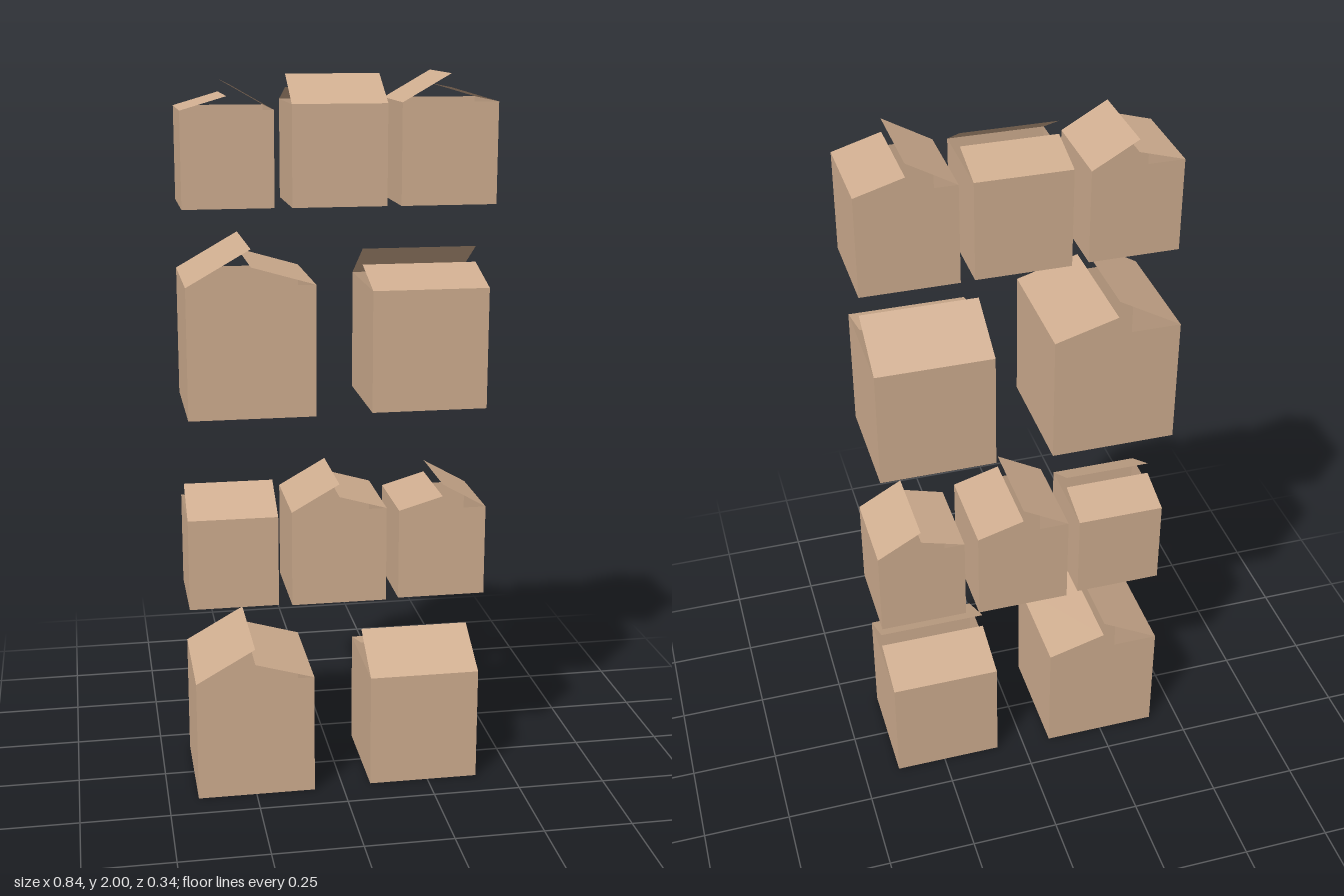
import * as THREE from 'three';

// Stack of open cardboard boxes: [centre x, base y, width, height, direction of the steep flap]
const BOXES = [
  [-0.249, 0, 0.333, 0.349, '-x'],
  [0.238, 0, 0.313, 0.328, '+z'],
  [-0.300, 0.556, 0.249, 0.258, '+z'],
  [-0.006, 0.556, 0.266, 0.271, '-x'],
  [0.288, 0.556, 0.248, 0.258, '+x'],
  [-0.247, 1.108, 0.344, 0.357, '-x'],
  [0.239, 1.108, 0.318, 0.333, '-z'],
  [-0.298, 1.661, 0.243, 0.252, '+x'],
  [-0.004, 1.661, 0.253, 0.266, '+z'],
  [0.289, 1.661, 0.258, 0.268, '-x'],
];
const TURN = { '+z': 0, '+x': Math.PI / 2, '-z': Math.PI, '-x': -Math.PI / 2 };

// Bottom and four walls, without a lid
function openBox(w, h) {
  const geometry = new THREE.BoxGeometry(w, h, w);
  const index = Array.from(geometry.index.array);
  index.splice(12, 6);
  geometry.setIndex(index);
  geometry.clearGroups();
  return geometry.translate(0, h / 2, 0);
}

// Flap hinged on the +z rim, rising towards the middle of the box
function flapGeometry(w, h, rise) {
  const run = w / 2;
  const length = Math.hypot(run, rise);
  return new THREE.PlaneGeometry(w, length)
    .rotateX(-Math.PI / 2)
    .translate(0, 0, -length / 2)
    .rotateX(Math.atan2(rise, run))
    .translate(0, h, run);
}

export function createModel() {
  const cardboard = new THREE.MeshStandardMaterial({ color: 0xd0ae90, side: THREE.DoubleSide });
  cardboard.name = 'cardboard';
  const model = new THREE.Group();
  model.name = 'stackedBoxes';

  const add = (parent, name, geometry, turn = 0) => {
    const mesh = new THREE.Mesh(geometry, cardboard);
    mesh.name = name;
    mesh.rotation.y = turn;
    parent.add(mesh);
  };

  BOXES.forEach(([x, y, w, h, steep], i) => {
    const box = new THREE.Group();
    box.name = `box${i + 1}`;
    box.position.set(x, y, -0.001);
    add(box, 'boxWalls', openBox(w, h));
    // One steep and one shallow flap on opposite rims
    add(box, 'steepFlap', flapGeometry(w, h, w * 0.283), TURN[steep]);
    add(box, 'shallowFlap', flapGeometry(w, h, w * 0.145), TURN[steep] + Math.PI);
    model.add(box);
  });
  return model;
}
